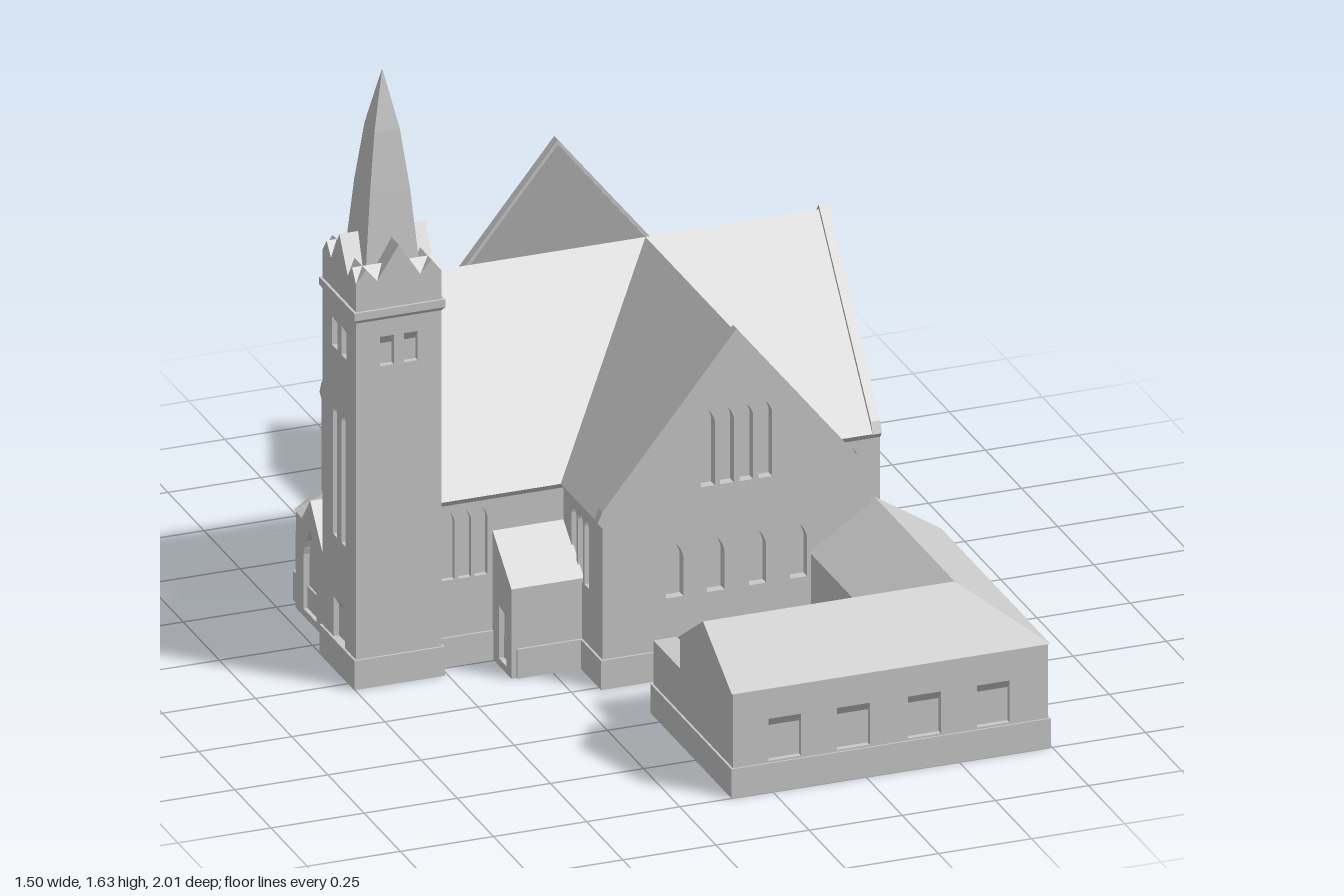
import * as THREE from 'three';

const stone = new THREE.MeshStandardMaterial({ color: 0xc8c8c8 });
stone.name = 'pale stone';
const CX = 0.19, CZ = -0.37; // crossing centre

export function createModel() {
  const root = new THREE.Group();
  root.name = 'church';

  const add = (name, geo, parent = root) => {
    const m = new THREE.Mesh(geo, stone);
    m.name = name;
    parent.add(m);
    return m;
  };
  const box = (name, x0, x1, y0, y1, z0, z1) =>
    add(name, new THREE.BoxGeometry(x1 - x0, y1 - y0, z1 - z0))
      .position.set((x0 + x1) / 2, (y0 + y1) / 2, (z0 + z1) / 2);
  const plinth = (x0, x1, z0, z1) => box('plinth', x0 - 0.006, x1 + 0.006, 0, 0.08, z0 - 0.006, z1 + 0.006);

  // openings: x, bottom, top, width
  const lancet = (x, y0, y1, w) => {
    const p = new THREE.Path(), h = w / 2, s = y1 - w * 0.9;
    p.moveTo(x - h, y0);
    p.lineTo(x + h, y0);
    p.lineTo(x + h, s);
    p.quadraticCurveTo(x + h * 0.8, s + w * 0.5, x, y1);
    p.quadraticCurveTo(x - h * 0.8, s + w * 0.5, x - h, s);
    return p;
  };
  const square = (x, y0, y1, w) => {
    const p = new THREE.Path([[-1, y0], [1, y0], [1, y1], [-1, y1]].map(([s, y]) => new THREE.Vector2(x + s * w / 2, y)));
    p.soffit = { x, y1, w };
    return p;
  };
  const poly = pts => new THREE.Shape(pts.map(p => new THREE.Vector2(...p)));
  const extrude = (shape, depth) =>
    new THREE.ExtrudeGeometry(shape, { depth, bevelEnabled: false, curveSegments: 4 }).translate(0, 0, -depth);

  // wall with its outer face at the given place, pierced by openings
  const wall = (name, pts, holes, depth, x, z, turn) => {
    const g = new THREE.Group(), shape = poly(pts);
    g.name = name;
    shape.holes.push(...holes);
    add(name + 'Face', extrude(shape, depth), g);
    for (const { soffit: s } of holes.filter(h => h.soffit)) { // sloped window heads
      const wedge = new THREE.ExtrudeGeometry(poly([[0, 0], [depth, 0], [depth, -0.024]]), { depth: s.w, bevelEnabled: false });
      wedge.rotateY(Math.PI / 2).translate(s.x - s.w / 2, s.y1, 0);
      add('windowHead', wedge, g);
    }
    g.position.set(x, 0, z);
    g.rotation.y = turn * Math.PI / 2; // 0 front, 1 left, 2 back, 3 right
    root.add(g);
    return g;
  };
  const rect = (w, h) => [[-w / 2, 0], [w / 2, 0], [w / 2, h], [-w / 2, h]];
  const faces = (name, v, list) => { // flat polygons over shared corners
    const pos = [];
    for (const f of list)
      for (let i = 1; i < f.length - 1; i++) pos.push(...v[f[0]], ...v[f[i]], ...v[f[i + 1]]);
    const g = new THREE.BufferGeometry();
    g.setAttribute('position', new THREE.Float32BufferAttribute(pos, 3));
    g.computeVertexNormals();
    add(name, g);
  };

  // crossing naves: cores, roofs and gable walls
  const core = [[-0.345, 0], [0.345, 0], [0.345, 0.44], [0, 0.86], [-0.345, 0.44]];
  const roof = [[-0.358, 0.437], [0.358, 0.437], [0.372, 0.456], [0, 0.917], [-0.372, 0.456]];
  const gable = [[-0.36, 0], [0.36, 0], [0.36, 0.44], [0.373, 0.455], [0.36, 0.485], [0, 0.93], [-0.36, 0.485], [-0.373, 0.455], [-0.36, 0.44]];
  const D = 0.025;
  const upper = [-0.077, -0.026, 0.026, 0.077].map(x => lancet(x, 0.51, 0.72, 0.037));
  const lower = [-0.166, -0.056, 0.056, 0.166].map(x => lancet(x, 0.22, 0.37, 0.046));
  const rose = new THREE.Path();
  rose.absarc(0, 0.52, 0.105, 0, Math.PI * 2);
  wall('transeptCore', core, [], 1.26 - 2 * D, CX, 0.26 - D, 0);
  wall('transeptRoof', roof, [], 1.26 - 2 * D, CX, 0.26 - D, 0);
  wall('naveCore', core, [], 1.22 - 2 * D, 0.68 - D, CZ, 1);
  wall('naveRoof', roof, [], 1.22 - 2 * D, 0.68 - D, CZ, 1);
  // solid backing behind the gable windows
  for (const [x, z, t] of [[CX, 0.26 - D, 0], [0.68 - D, CZ, 1], [CX, -1 + D, 2], [-0.54 + D, CZ, 3]])
    wall('gableBacking', core, [], 0.02, x, z, t);
  wall('frontGable', gable, [...upper, ...lower], D, CX, 0.26, 0);
  wall('leftGable', gable, [...upper, ...lower], D, 0.68, CZ, 1);
  wall('backGable', gable, [...upper, ...lower], D, CX, -1, 2);
  const west = wall('rightGable', gable, [rose], D, -0.54, CZ, 3);
  add('roseRing', new THREE.TorusGeometry(0.108, 0.009, 6, 28), west).position.y = 0.52;
  plinth(CX - 0.36, CX + 0.36, -1, 0.26);
  plinth(-0.54, 0.68, CZ - 0.36, CZ + 0.36);

  // side walls with triple lancets
  const triple = x => [-0.044, 0, 0.044].map(d => lancet(x + d, 0.235, 0.425, 0.034));
  for (const s of [1, -1]) {
    for (const t of [1, -1])
      wall('transeptSideWall', rect(0.255, 0.44), triple(0), 0.015, CX + s * 0.36, CZ + t * 0.4775, s > 0 ? 1 : 3);
    const turn = s > 0 ? 0 : 2, z = CZ + s * 0.36;
    wall('naveLongWall', rect(0.345, 0.44), triple(-s * 0.0925), 0.015, CX - 0.5325, z, turn);
    wall('naveShortWall', rect(0.105, 0.44), [lancet(0, 0.235, 0.425, 0.034)], 0.015, CX + 0.4125, z, turn);

    // lean-to entrance in the corner
    const prof = [[0, 0], [0.13, 0], [0.13, 0.245], [0, 0.352]].map(([u, y]) => [s * u, y]);
    wall('leanToBody', prof, [], 0.18, -0.345, z, 3);
    wall('leanToDoorWall', prof, [square(s * 0.07, 0.02, 0.165, 0.055)], 0.015, -0.36, z, 3);
    plinth(-0.34, -0.17, s > 0 ? -0.02 : z - 0.13, s > 0 ? z + 0.13 : -0.72);
  }

  // tower
  const TX = -0.63, TZ = -0.078, TW = 0.115;
  box('towerCore', TX - 0.1, TX + 0.1, 0, 1.01, TZ - 0.1, TZ + 0.1);
  for (let t = 0; t < 4; t++) {
    const holes = [-0.032, 0.032].map(x => square(x, 0.875, 0.955, 0.037));
    if (t === 3) holes.push(lancet(-0.03, 0.36, 0.72, 0.028), lancet(0.03, 0.36, 0.72, 0.028), square(0, 0.03, 0.19, 0.08));
    const a = t * Math.PI / 2;
    wall('towerWall', rect(TW * 2, 1.01), holes, 0.015, TX + TW * Math.sin(a), TZ + TW * Math.cos(a), t);
  }
  box('towerPlinth', TX - 0.121, TX + 0.121, 0, 0.08, TZ - 0.121, TZ + 0.121);
  box('towerCornice', TX - 0.122, TX + 0.122, 1.012, 1.033, TZ - 0.122, TZ + 0.122);
  const band = add('corniceSoffit', new THREE.CylinderGeometry(0.122 * Math.SQRT2, TW * Math.SQRT2, 0.01, 4, 1).rotateY(Math.PI / 4).toNonIndexed());
  band.geometry.computeVertexNormals();
  band.position.set(TX, 1.007, TZ);
  // crown of crossing gablets
  const crown = [[-TW, 1.03], [TW, 1.03], [TW, 1.11], [0.088, 1.145], [0.058, 1.11], [0, 1.2], [-0.058, 1.11], [-0.088, 1.145], [-TW, 1.11]];
  wall('towerCrown', crown, [], TW * 2, TX, TZ + TW, 0);
  wall('towerCrown', crown, [], TW * 2, TX + TW, TZ, 1);
  // bowed four-sided spire
  const rings = [[0.075, 1.08], [0.07, 1.14], [0.054, 1.32], [0.034, 1.48], [0.001, 1.632]];
  const spire = new THREE.LatheGeometry(rings.map(([r, y]) => new THREE.Vector2(r * Math.SQRT2, y)), 4).rotateY(Math.PI / 4).toNonIndexed();
  spire.computeVertexNormals();
  add('spire', spire).position.set(TX, 0, TZ);

  // chamfered porch below the rose window
  const plan = [[-0.54, -0.585], [-0.625, -0.585], [-0.695, -0.52], [-0.695, -0.22], [-0.625, -0.155], [-0.54, -0.155]];
  const prism = (name, pts, h) =>
    add(name, new THREE.ExtrudeGeometry(poly(pts.map(([x, z]) => [x, -z])), { depth: h, bevelEnabled: false }).rotateX(-Math.PI / 2));
  prism('porchBody', plan.map(([x, z]) => [x + 0.006, z]), 0.25);
  prism('porchPlinth', plan.map(([x, z]) => [x, z + Math.sign(z - CZ) * 0.006]), 0.08);
  faces('porchRoof', [...plan.map(([x, z]) => [x, 0.25, z]), [-0.53, 0.33, -0.5], [-0.53, 0.33, -0.24]],
    [[0, 1, 6], [1, 2, 6], [2, 3, 7, 6], [3, 4, 7], [4, 5, 7]]);
  const portal = [[-0.1, 0], [0.1, 0], [0.1, 0.21], [0, 0.335], [-0.1, 0.21]];
  wall('portalBody', portal, [], 0.15, -0.69, -0.38, 3);
  wall('portalFront', portal, [lancet(0, 0.02, 0.25, 0.09)], 0.016, -0.706, -0.38, 3);

  // L-shaped annex
  box('annexLeftWing', 0.39, 0.725, 0, 0.285, 0.25, 0.98);
  box('annexFrontWing', -0.105, 0.7, 0, 0.285, 0.63, 0.98);
  box('annexLowWing', -0.105, 0.4, 0, 0.2, 0.445, 0.65);
  wall('annexFrontWall', rect(0.845, 0.285), [-0.284, -0.099, 0.091, 0.276].map(x => square(x, 0.085, 0.2, 0.088)), 0.015, 0.3175, 0.995, 0);
  wall('annexLeftWall', rect(0.745, 0.285), [-0.13, 0.05, 0.23].map(x => square(x, 0.085, 0.2, 0.08)), 0.015, 0.74, 0.6225, 1);
  const e = 0.285, r = 0.402;
  faces('annexRoof', [[-0.11, e, 1], [0.745, e, 1], [0.745, e, 0.245], [0.565, r, 0.245], [0.565, r, 0.8],
    [-0.11, r, 0.8], [0.385, e, 0.245], [0.385, e, 0.625], [-0.11, e, 0.625]],
  [[0, 1, 4, 5], [1, 2, 3, 4], [4, 3, 6, 7], [5, 4, 7, 8], [0, 5, 8], [2, 6, 3], [0, 8, 7, 1], [7, 6, 2, 1]]);
  plinth(0.39, 0.74, 0.066, 0.994);
  plinth(-0.105, 0.7, 0.445, 0.994);
  // flat-roofed link with its door
  box('linkBody', 0.5, 0.725, 0, 0.205, 0.065, 0.26);
  wall('linkDoorWall', rect(0.185, 0.205), [square(-0.012, 0.025, 0.165, 0.065)], 0.015, 0.74, 0.1575, 1);

  return root;
}
